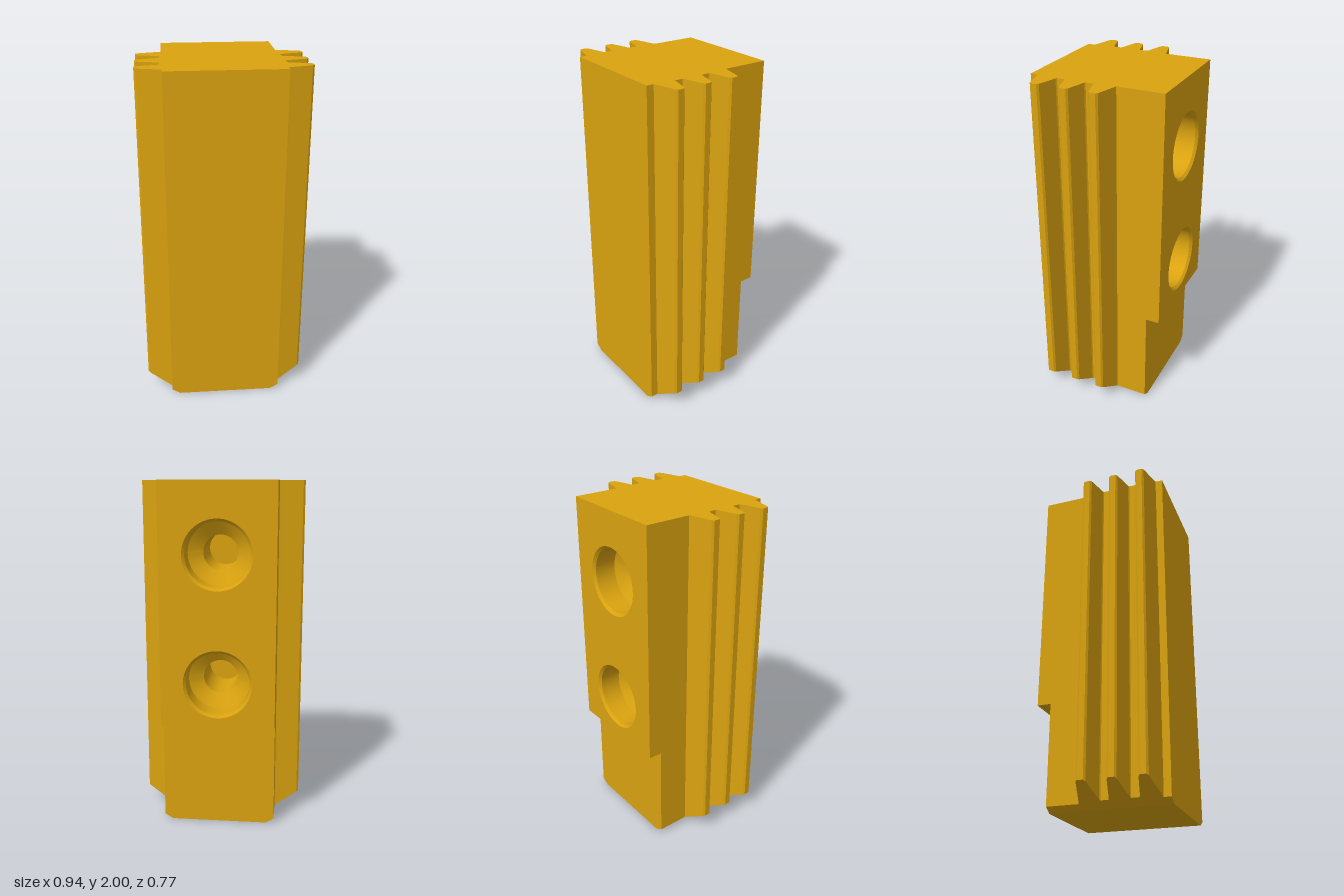
import * as THREE from 'three';
import { toCreasedNormals } from 'three/addons/utils/BufferGeometryUtils.js';

const TOP = 2, HALF = 0.327, FLAT = 0.28, FRONT = 0.385, BACK = -0.385, LOWER_BACK = -0.305, STEP = 0.61;
const HOLE_R = 0.197, HOLE_Y = [0.87, 1.6];

// underside height: flat in the middle, sloping up towards the ribs
const floorAt = (x) => Math.max(0, (Math.abs(x) - FLAT) * 0.6);

// plan outline of one ribbed flank, from back to front, as [x, z]
function flankOutline() {
  const half = [[0.338, 0.062], [0.345, 0.057], [0.46, 0.027], [0.471, 0.017]];
  const pts = [[HALF, LOWER_BACK]];
  for (let i = 0; i < 3; i++) {
    const z = -0.055 + i * 0.168;
    half.forEach(([x, d], k) => pts.push([i === 0 && k === 0 ? HALF : x, z - d]));
    [...half].reverse().forEach(([x, d], k) => pts.push([i === 2 && k === 3 ? HALF : x, z + d]));
  }
  pts.push([HALF, FRONT]);
  return pts;
}

// upright walls along a plan path, from its floor to the top
function walls(path, floor) {
  const v = [];
  for (let i = 0; i + 1 < path.length; i++) {
    const [ax, az] = path[i], [bx, bz] = path[i + 1];
    const a = [ax, floor(ax), az], A = [ax, TOP, az], b = [bx, floor(bx), bz], B = [bx, TOP, bz];
    v.push(...a, ...A, ...b, ...b, ...A, ...B);
  }
  const g = new THREE.BufferGeometry();
  g.setAttribute('position', new THREE.Float32BufferAttribute(v, 3));
  g.computeVertexNormals();
  return g;
}

// horizontal (or sloping) cap over a plan outline
function cap(outline, height, down) {
  const s = down ? 1 : -1;
  const g = new THREE.ShapeGeometry(new THREE.Shape(outline.map(([x, z]) => new THREE.Vector2(x, s * z))));
  g.rotateX(s * Math.PI / 2);
  const p = g.attributes.position;
  for (let i = 0; i < p.count; i++) p.setY(i, height(p.getX(i)));
  g.computeVertexNormals();
  return g;
}

// upright panel facing the back
function backPanel(points, z, holes = []) {
  const shape = new THREE.Shape(points.map(([x, y]) => new THREE.Vector2(x, y)));
  for (const y of holes) shape.holes.push(new THREE.Path().absarc(0, y, HOLE_R, 0, Math.PI * 2, true));
  return new THREE.ShapeGeometry(shape, 32).rotateY(Math.PI).translate(0, 0, z);
}

export function createModel() {
  const group = new THREE.Group();
  const material = new THREE.MeshStandardMaterial({ color: 0xd9a20f, side: THREE.DoubleSide });
  const add = (name, geometry) => {
    const mesh = new THREE.Mesh(geometry, material);
    mesh.name = name;
    group.add(mesh);
    return mesh;
  };

  const left = flankOutline();
  const mirror = (pts) => pts.map(([x, z]) => [-x, z]).reverse();
  const right = mirror(left);

  // ribbed flanks and plain front
  add('leftRibs', walls(left, floorAt));
  add('rightRibs', walls(right, floorAt));
  add('frontFace', walls([[HALF, FRONT], [FLAT, FRONT], [-FLAT, FRONT], [-HALF, FRONT]], floorAt));

  // top and chamfered underside
  add('topFace', cap([[HALF, BACK], ...left, ...right, [-HALF, BACK]], () => TOP, false));
  add('baseFace', cap([[FLAT, LOWER_BACK], [FLAT, FRONT], [-FLAT, FRONT], [-FLAT, LOWER_BACK]], () => 0, true));
  const slope = [[FLAT, LOWER_BACK], ...left, [FLAT, FRONT]];
  add('leftBaseSlope', cap(slope, floorAt, true));
  add('rightBaseSlope', cap(mirror(slope), floorAt, true));

  // raised mounting pad and the recessed face below it
  const padFloor = () => STEP;
  add('padLeftSide', walls([[HALF, BACK], [HALF, LOWER_BACK]], padFloor));
  add('padRightSide', walls([[-HALF, LOWER_BACK], [-HALF, BACK]], padFloor));
  add('padLedge', cap([[HALF, BACK], [HALF, LOWER_BACK], [-HALF, LOWER_BACK], [-HALF, BACK]], padFloor, true));
  add('padFace', backPanel([[-HALF, STEP], [HALF, STEP], [HALF, TOP], [-HALF, TOP]], BACK, HOLE_Y));
  const edge = floorAt(HALF);
  add('lowerBackFace', backPanel(
    [[-FLAT, 0], [FLAT, 0], [HALF, edge], [HALF, STEP], [-HALF, STEP], [-HALF, edge]], LOWER_BACK));

  // stepped bolt holes: chamfered rim, wide bore, conical seat, narrow blind bore
  const profile = [[0, 0.5], [0.1, 0.5], [0.1, 0.19], [0.182, 0.14], [0.182, 0.015], [HOLE_R, 0]]
    .map(([r, d]) => new THREE.Vector2(r, d));
  const bore = toCreasedNormals(new THREE.LatheGeometry(profile, 64).rotateX(Math.PI / 2), 0.5);
  for (const y of HOLE_Y) add('boltHole', bore).position.set(0, y, BACK);

  return group;
}
